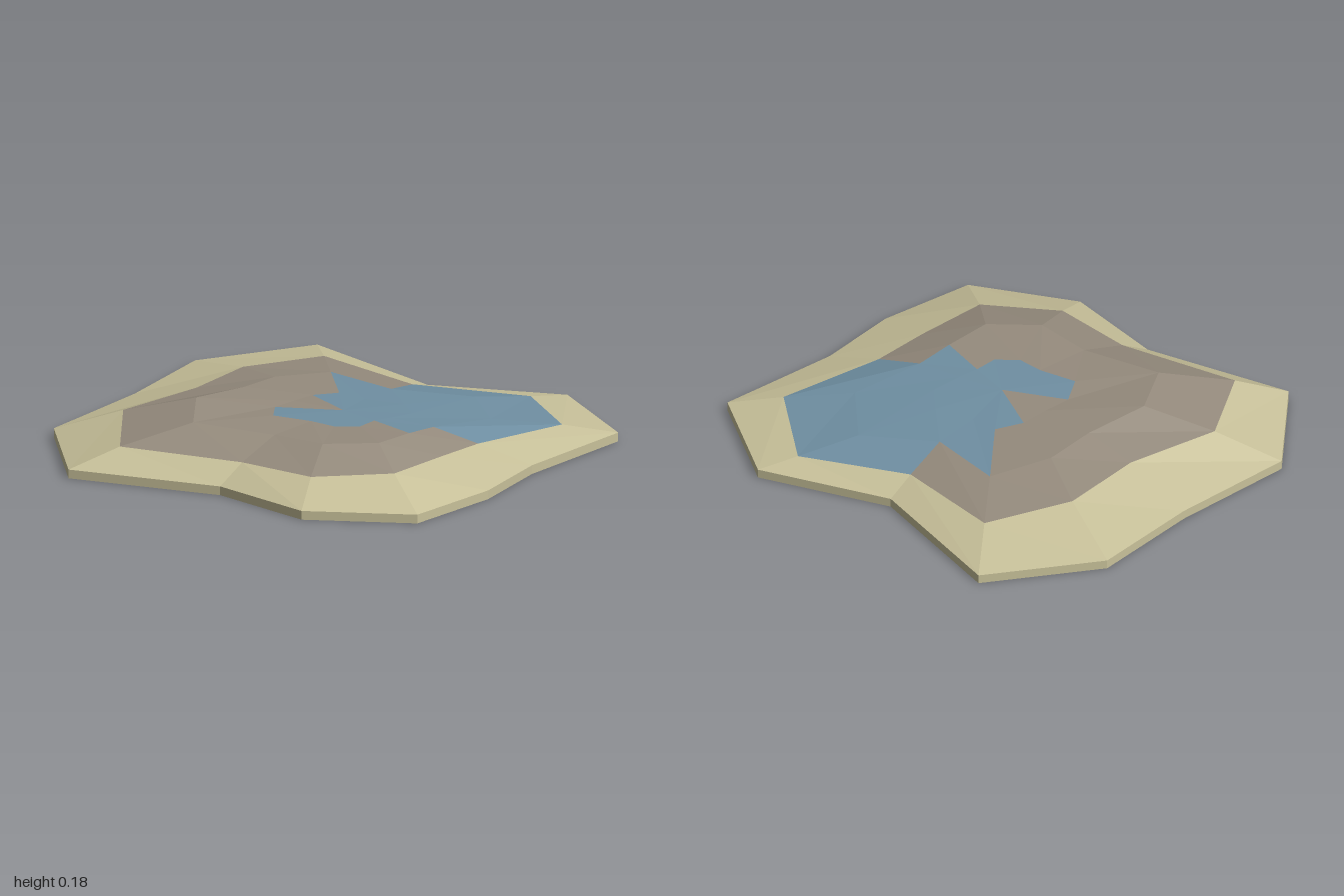
import * as THREE from 'three';

// Rings of [x, y, z], each clockwise from the back as seen from above
const SHORE = [[0.28, -1], [0.74, -0.85], [0.81, -0.35], [0.92, -0.03], [0.955, 0.36], [0.63, 0.66],
  [0.21, 0.7], [-0.32, 1], [-0.72, 0.72], [-0.82, 0.22], [-0.96, -0.21], [-0.79, -0.68], [-0.16, -0.68]];
const SLOPE = [[0.25, 0.058, -0.84], [0.61, 0.073, -0.68], [0.615, 0.095, -0.25], [0.66, 0.107, -0.03],
  [0.71, 0.115, 0.26], [0.515, 0.108, 0.51], [0.2, 0.102, 0.58], [-0.24, 0.105, 0.81], [-0.52, 0.12, 0.545],
  [-0.535, 0.118, 0.16], [-0.63, 0.105, -0.16], [-0.56, 0.087, -0.51], [-0.11, 0.077, -0.56]];
const RIM = [[0.2, 0.098, -0.6], [0.45, 0.105, -0.46], [0.45, 0.138, -0.17], [0.48, 0.155, -0.02],
  [0.515, 0.166, 0.165], [0.39, 0.17, 0.34], [0.17, 0.161, 0.39], [-0.125, 0.17, 0.54], [-0.31, 0.182, 0.36],
  [-0.33, 0.16, 0.1], [-0.38, 0.143, -0.1], [-0.335, 0.118, -0.345], [-0.03, 0.12, -0.38]];
const BASIN = [[0.16, 0.13, -0.28], [0.27, 0.135, -0.22], [0.28, 0.147, -0.1], [0.28, 0.154, -0.02],
  [0.3, 0.156, 0.07], [0.24, 0.159, 0.15], [0.14, 0.16, 0.175], [0, 0.163, 0.245], [-0.085, 0.156, 0.16],
  [-0.1, 0.152, 0.05], [-0.12, 0.145, -0.06], [-0.09, 0.137, -0.17], [0.02, 0.133, -0.2]];
const CENTRE = [0.11, 0.153, -0.015];
const EDGE = 0.035;

// Sectors covered by water in each band
const WET_SLOPE = [12, 0, 1];
const WET_RIM = [11, 12, 0, 1, 2];
const DRY_BASIN = [8, 9];

export function createModel() {
  const sand = new THREE.MeshStandardMaterial({ name: 'sand', color: 0xc8c19a, flatShading: true });
  const rock = new THREE.MeshStandardMaterial({ name: 'rock', color: 0x968c7e, flatShading: true });
  const water = new THREE.MeshStandardMaterial({ name: 'water', color: 0x7090a3, flatShading: true });
  const faces = { shore: [], base: [], rockSlope: [], waterSurface: [] };
  const n = SHORE.length;
  const tri = (part, a, b, c) => faces[part].push(...a, ...b, ...c);
  const quad = (part, outer, inner, i) => {
    const j = (i + 1) % n;
    tri(part, outer[i], inner[i], inner[j]);
    tri(part, outer[i], inner[j], outer[j]);
  };

  const top = SHORE.map(([x, z]) => [x, EDGE, z]);
  const bottom = SHORE.map(([x, z]) => [x, 0, z]);
  for (let i = 0; i < n; i++) {
    const j = (i + 1) % n;
    // Flat underside and upright edge
    quad('base', bottom, top, i);
    tri('base', bottom[i], bottom[j], [0, 0, 0]);
    // Sandy shore, then rock and water in rising bands
    quad('shore', top, SLOPE, i);
    quad(WET_SLOPE.includes(i) ? 'waterSurface' : 'rockSlope', SLOPE, RIM, i);
    quad(WET_RIM.includes(i) ? 'waterSurface' : 'rockSlope', RIM, BASIN, i);
    tri(DRY_BASIN.includes(i) ? 'rockSlope' : 'waterSurface', BASIN[i], CENTRE, BASIN[j]);
  }

  const group = new THREE.Group();
  group.name = 'island';
  const materials = { shore: sand, base: sand, rockSlope: rock, waterSurface: water };
  for (const [name, points] of Object.entries(faces)) {
    const geometry = new THREE.BufferGeometry();
    geometry.setAttribute('position', new THREE.Float32BufferAttribute(points, 3));
    geometry.computeVertexNormals();
    const mesh = new THREE.Mesh(geometry, materials[name]);
    mesh.name = name;
    group.add(mesh);
  }
  return group;
}
